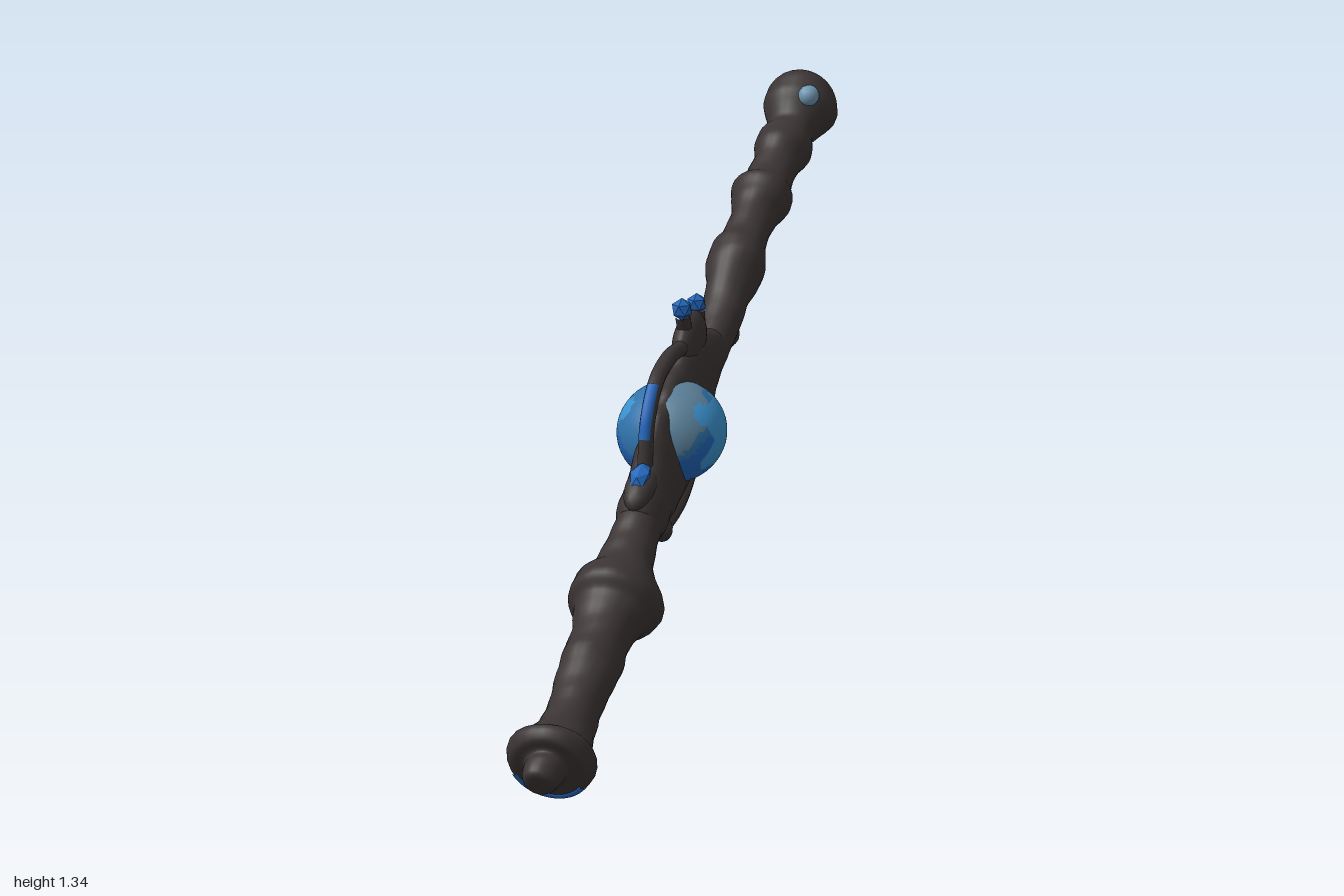
import * as THREE from 'three';

const mat = (name, color) => {
  const m = new THREE.MeshStandardMaterial({ color });
  m.name = name;
  return m;
};

export function createModel() {
  const bark = mat('dark bark', 0x3b3434);
  const light = mat('light blue', 0x3a90cc);
  const deep = mat('deep blue', 0x2265ba);
  const mid = mat('mid blue', 0x2f72aa);
  const steel = mat('steel blue', 0x5a7f98);
  const pale = mat('pale blue', 0x7098b4);

  // Local frame: y runs up the staff, z points to its upper front edge.
  const staff = new THREE.Group();
  staff.name = 'staff';
  staff.position.y = 0.68;
  staff.rotation.x = -1.012;

  const add = (name, geo, material, x = 0, y = 0, z = 0) => {
    const m = new THREE.Mesh(geo, material);
    m.name = name;
    m.position.set(x, y, z);
    staff.add(m);
    return m;
  };

  // Lofted body from [height, centre z, radius, x scale], with gnarled ridges.
  function loft(sections, rows, rough) {
    const seg = 24, pos = [], idx = [];
    const path = new THREE.CatmullRomCurve3(sections.map(([y, z, r]) => new THREE.Vector3(r, y, z)));
    const widths = new THREE.CatmullRomCurve3(sections.map(([y, , , w = 1]) => new THREE.Vector3(w, y, 0)));
    for (let i = 0; i <= rows; i++) {
      const p = path.getPoint(i / rows), w = widths.getPoint(i / rows).x;
      for (let j = 0; j < seg; j++) {
        const a = (j / seg) * Math.PI * 2;
        const bump = Math.sin(3 * a + p.y * 31) * 0.6 + Math.sin(2 * a - p.y * 57) * 0.5 + Math.sin(p.y * 95 + a) * 0.5;
        const r = Math.max(p.x, 0.001) * (1 + rough * bump);
        pos.push(r * w * Math.cos(a), p.y, p.z + r * Math.sin(a));
        if (i < rows) {
          const k = i * seg + j, n = i * seg + (j + 1) % seg;
          idx.push(k, k + seg, n, n, k + seg, n + seg);
        }
      }
    }
    const g = new THREE.BufferGeometry();
    g.setAttribute('position', new THREE.Float32BufferAttribute(pos, 3));
    g.setIndex(idx);
    g.computeVertexNormals();
    return g;
  }

  // Handle: tip knob, flared pommel, grip and collar
  add('lowerShaft', loft([
    [-1.165, 0, 0.001], [-1.16, 0, 0.035], [-1.12, -0.005, 0.05], [-1.095, -0.01, 0.055],
    [-1.085, -0.02, 0.095], [-1.05, -0.022, 0.108], [-1.01, -0.03, 0.085], [-0.95, -0.04, 0.068],
    [-0.85, -0.04, 0.064], [-0.74, -0.035, 0.073], [-0.64, -0.035, 0.072], [-0.57, -0.035, 0.09],
    [-0.54, -0.037, 0.112], [-0.49, -0.035, 0.108], [-0.45, -0.025, 0.08], [-0.38, -0.01, 0.06],
    [-0.3, 0, 0.056], [-0.2, 0, 0.05],
  ], 100, 0.03), bark);

  // Ringed upper shaft
  add('upperShaft', loft([
    [0.18, -0.005, 0.05], [0.28, -0.015, 0.045], [0.38, -0.015, 0.05], [0.46, 0, 0.054],
    [0.54, 0.015, 0.07], [0.58, 0.02, 0.066], [0.61, 0.022, 0.054], [0.7, 0.02, 0.055],
    [0.74, 0.018, 0.066], [0.78, 0.016, 0.074], [0.81, 0.014, 0.058], [0.88, 0.01, 0.054],
    [0.93, 0.006, 0.066], [0.97, 0.003, 0.064], [1.0, 0, 0.056], [1.03, 0, 0.068],
    [1.07, 0, 0.085], [1.11, 0, 0.084], [1.15, 0, 0.055], [1.165, 0, 0.001],
  ], 100, 0.03), bark);

  // Flattened eye-shaped cradle around the orb
  add('cradle', loft([
    [-0.33, 0, 0.03], [-0.3, 0, 0.065, 0.85], [-0.2, -0.005, 0.095, 0.58], [-0.1, 0, 0.128, 0.42],
    [0, 0, 0.137, 0.36], [0.1, 0, 0.13, 0.39], [0.2, 0.015, 0.105, 0.48], [0.27, 0, 0.075, 0.6],
    [0.33, -0.01, 0.03],
  ], 60, 0.03), bark);
  add('cradleCrest', new THREE.IcosahedronGeometry(1, 3), bark, 0, 0.2, 0.105).scale.set(0.035, 0.085, 0.065);

  // Orb: light side caps, deep lower edge, steel upper edge, mid blue between
  const orbGeo = new THREE.IcosahedronGeometry(1, 9);
  const p = orbGeo.attributes.position;
  for (let i = 0; i < p.count; i += 3) {
    const x = (p.getX(i) + p.getX(i + 1) + p.getX(i + 2)) / 3;
    const y = (p.getY(i) + p.getY(i + 1) + p.getY(i + 2)) / 3;
    const z = (p.getZ(i) + p.getZ(i + 1) + p.getZ(i + 2)) / 3;
    const wobble = 0.1 * Math.sin(6 * y + 3 * z) + 0.08 * Math.sin(9 * z - 5 * y);
    let colour = 1;
    if (Math.abs(x) + 0.2 * y + wobble > 0.71) colour = 0;
    else if (z - 0.1 * y + wobble > 0.5 && x > 0) colour = 3;
    else if (z + wobble > 0.2) colour = 2;
    orbGeo.addGroup(i, 3, colour);
  }
  add('orb', orbGeo, [light, deep, mid, steel], 0, -0.005, 0.015).scale.set(0.13, 0.128, 0.116);

  // Curling branches on both edges of the cradle, given as [y, z]
  const branch = (name, pts, r, material = bark) => {
    const curve = new THREE.CatmullRomCurve3(pts.map(([y, z]) => new THREE.Vector3(0, y, z)));
    add(name, new THREE.TubeGeometry(curve, 32, r, 10), material);
  };
  branch('upperBranch', [[-0.215, 0.05], [-0.175, 0.105], [-0.12, 0.163], [-0.03, 0.198], [0.07, 0.18], [0.16, 0.13]], 0.019);
  branch('upperBranchInlay', [[-0.157, 0.136], [-0.125, 0.168], [-0.085, 0.19], [-0.045, 0.202]], 0.016, deep);
  branch('lowerBranch', [[-0.18, -0.127], [-0.11, -0.152], [-0.03, -0.164], [0.076, -0.144], [0.17, -0.095], [0.23, -0.02]], 0.02);
  branch('lowerBranchRoot', [[-0.18, -0.127], [-0.165, -0.09], [-0.13, -0.05]], 0.018);
  branch('sideTwig', [[0.29, -0.02], [0.33, -0.065], [0.4, -0.07]], 0.022);
  branch('crestTwigA', [[0.19, 0.13], [0.198, 0.195]], 0.018);
  branch('crestTwigB', [[0.25, 0.07], [0.28, 0.13]], 0.02);

  // Branch knobs, each with a crystal set into its underside
  for (const [name, y, z, r] of [['twigKnob', 0.402, -0.07, 0.033], ['rootKnob', -0.19, -0.126, 0.029]]) {
    add(name, new THREE.IcosahedronGeometry(r, 2), bark, 0, y, z);
    add(name + 'Crystal', new THREE.IcosahedronGeometry(r * 0.82, 1), deep, 0, y + 0.003, z - 0.012);
  }

  // Faceted crystals: [y, z, half width, half length, half depth]
  for (const [y, z, w, l, d] of [
    [0.203, 0.21, 0.026, 0.027, 0.027], [0.288, 0.144, 0.024, 0.025, 0.025],
    [-0.228, 0.088, 0.027, 0.045, 0.022], [0.29, -0.058, 0.016, 0.022, 0.018],
  ]) add('crystal', new THREE.IcosahedronGeometry(1, 0), deep, 0, y, z).scale.set(w, l, d);
  add('crystalSocket', new THREE.IcosahedronGeometry(1, 2), bark, 0, -0.24, 0.062).scale.set(0.038, 0.075, 0.033);

  // Blue crescent on the pommel rim, and inlays under the tip and on the head
  const crescent = new THREE.TorusGeometry(0.09, 0.012, 8, 24, 2.2);
  crescent.rotateX(Math.PI / 2);
  add('pommelInlay', crescent, deep, 0, -1.079, -0.022).rotation.y = 2.85;
  add('tipInlay', new THREE.SphereGeometry(0.032, 16, 10), deep, 0, -1.112, -0.032);
  add('headInlay', new THREE.SphereGeometry(0.025, 14, 8), pale, 0.04, 1.06, 0.066);

  const model = new THREE.Group();
  model.name = 'model';
  model.add(staff);
  return model;
}
